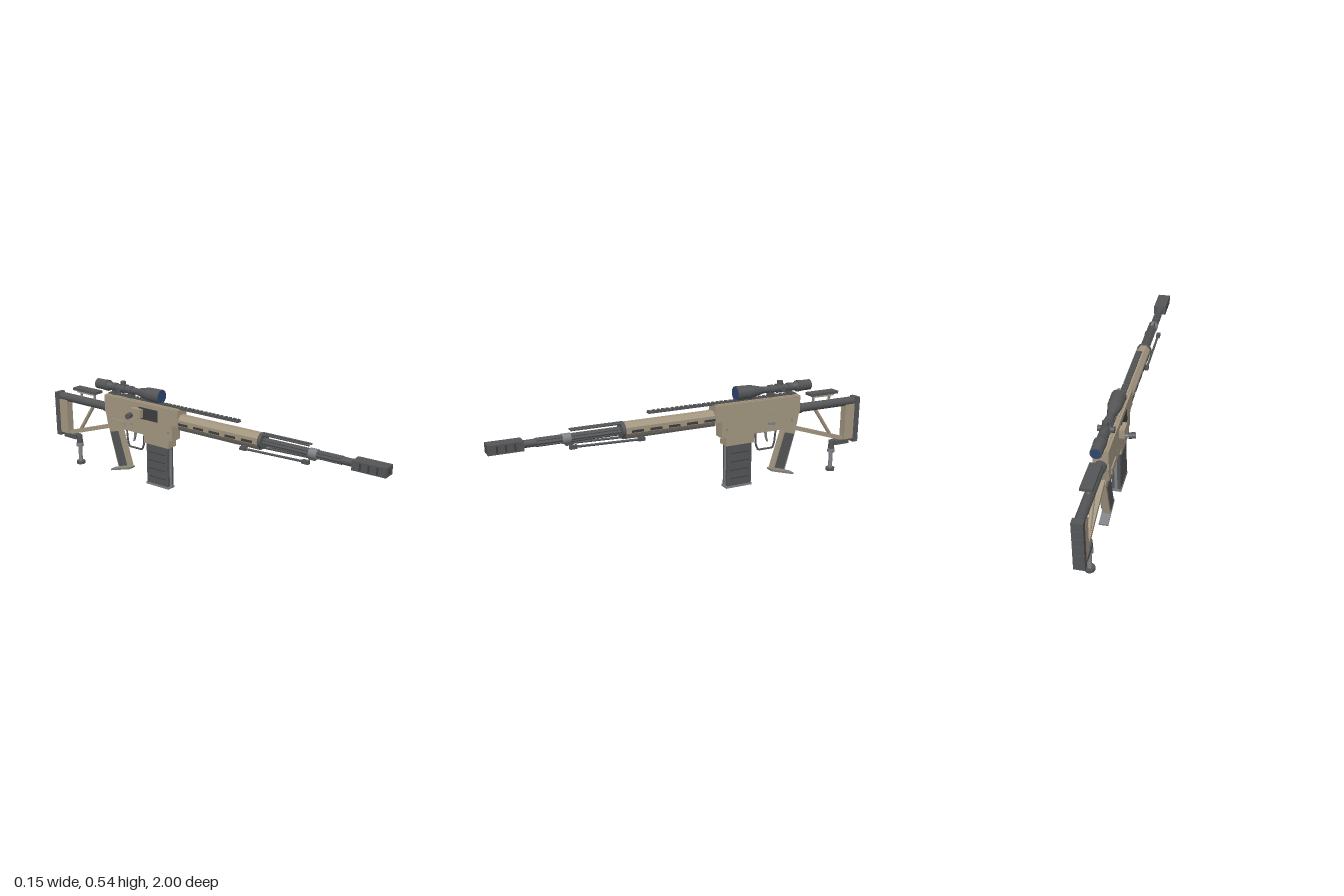
import * as THREE from 'three';

const mat = (name, color) => Object.assign(new THREE.MeshStandardMaterial({ color }), { name });

export function createModel() {
  const model = new THREE.Group();
  const tan = mat('tan', 0xa39680), dark = mat('darkGrey', 0x545557), grey = mat('midGrey', 0x7f8286);
  const black = mat('black', 0x3c3d3f), blue = mat('lensBlue', 0x2d4672);
  const CX = 0.03; // centre line of the rifle

  const add = (name, geo, m) => {
    const mesh = new THREE.Mesh(geo, m);
    mesh.name = name;
    model.add(mesh);
    return mesh;
  };
  // box given by its limits on each axis
  const box = (name, m, x0, x1, y0, y1, z0, z1) => add(name,
    new THREE.BoxGeometry(x1 - x0, y1 - y0, Math.abs(z1 - z0))
      .translate((x0 + x1) / 2, (y0 + y1) / 2, (z0 + z1) / 2), m);
  // box centred across the rifle
  const mid = (name, m, w, y0, y1, z0, z1) => box(name, m, CX - w / 2, CX + w / 2, y0, y1, z0, z1);
  // cylinder between two points
  const rod = (name, m, a, b, r0, r1 = r0, sides = 16) => {
    const p = new THREE.Vector3(...a), q = new THREE.Vector3(...b), d = q.clone().sub(p);
    const mesh = add(name, new THREE.CylinderGeometry(r1, r0, d.length(), sides), m);
    mesh.position.copy(p).add(q).multiplyScalar(0.5);
    mesh.quaternion.setFromUnitVectors(new THREE.Vector3(0, 1, 0), d.normalize());
    return mesh;
  };
  const along = (name, m, y, z0, z1, r0, r1, sides) => rod(name, m, [CX, y, z0], [CX, y, z1], r0, r1, sides);
  // side profile of [z, y] points, extruded across x
  const side = (name, m, pts, w, x = CX) => {
    const g = new THREE.ExtrudeGeometry(new THREE.Shape(pts.map(p => new THREE.Vector2(...p))),
      { depth: w, bevelEnabled: false });
    return add(name, g.rotateY(-Math.PI / 2).translate(x + w / 2, 0, 0), m);
  };

  // muzzle brake
  mid('muzzleBrake', dark, 0.066, 0.366, 0.411, 0.84, 1);
  for (const z of [0.88, 0.92, 0.96]) mid('brakeVent', black, 0.07, 0.372, 0.405, z - 0.004, z + 0.004);
  along('muzzleBore', black, 0.388, 0.99, 1.001, 0.011);

  // barrel with flutes
  along('barrel', dark, 0.388, 0.3, 0.85, 0.018);
  along('barrelCollar', grey, 0.388, 0.62, 0.66, 0.024);
  for (let i = 0; i < 8; i++) {
    const a = i * Math.PI / 4, x = CX + Math.cos(a) * 0.017, y = 0.388 + Math.sin(a) * 0.017;
    rod('barrelRib', dark, [x, y, 0.37], [x, y, 0.78], 0.005, 0.005, 6);
  }
  for (const s of [-1, 1])
    rod('upperRod', dark, [CX + s * 0.012, 0.426, 0.36], [CX + s * 0.012, 0.426, 0.62], 0.005, 0.005, 8);

  // octagonal handguard with side slots
  const oct = new THREE.CylinderGeometry(0.038, 0.038, 0.49, 8).toNonIndexed();
  oct.rotateY(Math.PI / 8).rotateX(Math.PI / 2).scale(0.92, 1.02, 1).computeVertexNormals();
  add('handguard', oct, tan).position.set(CX, 0.392, 0.125);
  along('handguardCap', dark, 0.392, 0.36, 0.378, 0.039);
  mid('handguardUnderRail', dark, 0.034, 0.35, 0.36, -0.12, 0.37);
  for (const s of [-1, 1]) for (let i = 0; i < 5; i++) {
    const x = CX + s * 0.0325, z = 0.3 - i * 0.095;
    box('handguardSlot', black, x - 0.0015, x + 0.0015, 0.38, 0.392, z - 0.03, z + 0.03);
  }

  // folded bipod
  for (const s of [-1, 1]) {
    const x = CX + s * 0.032;
    rod('bipodLeg', dark, [x, 0.343, 0.28], [x, 0.353, 0.63], 0.006, 0.006, 8);
    box('bipodFoot', dark, x - 0.01, x + 0.01, 0.344, 0.361, 0.6, 0.634);
    box('bipodHinge', dark, x - 0.009, x + 0.009, 0.336, 0.352, 0.265, 0.3);
  }
  mid('bipodBridge', dark, 0.06, 0.343, 0.355, 0.27, 0.29);

  // top rail with teeth
  mid('topRail', dark, 0.026, 0.455, 0.461, -0.6, 0.235);
  for (let i = 0; i < 34; i++) {
    const z = 0.225 - i * 0.0245;
    mid('railTooth', dark, 0.03, 0.46, 0.467, z - 0.007, z + 0.007);
  }

  // receiver
  side('upperReceiver', tan, [[-0.11, 0.37], [-0.11, 0.455], [-0.605, 0.455], [-0.605, 0.36], [-0.15, 0.36], [-0.15, 0.37]], 0.071);
  mid('receiverRidge', tan, 0.052, 0.45, 0.459, -0.115, -0.6);
  side('lowerReceiver', tan, [[-0.15, 0.285], [-0.15, 0.365], [-0.603, 0.365], [-0.588, 0.285]], 0.066);
  mid('magazineWell', tan, 0.063, 0.24, 0.287, -0.175, -0.337);
  box('sidePanel', tan, 0.06, 0.068, 0.385, 0.405, -0.25, -0.48);
  box('rearPanel', tan, -0.009, 0, 0.302, 0.332, -0.47, -0.56);
  box('ejectionPort', black, -0.0085, 0, 0.37, 0.432, -0.24, -0.365);
  for (const z of [-0.175, -0.42, -0.56])
    rod('receiverPin', grey, [-0.005, 0.328, z], [0.066, 0.328, z], 0.006, 0.006, 10);
  rod('selectorPivot', grey, [0.055, 0.328, -0.445], [0.074, 0.328, -0.445], 0.009, 0.009, 12);
  box('selectorLever', grey, 0.069, 0.074, 0.323, 0.333, -0.42, -0.445);

  // bolt handle
  box('boltMount', tan, -0.03, -0.005, 0.38, 0.425, -0.335, -0.4);
  rod('boltStem', grey, [-0.02, 0.393, -0.395], [-0.05, 0.393, -0.388], 0.006);
  rod('boltKnob', dark, [-0.045, 0.393, -0.389], [-0.077, 0.393, -0.381], 0.0145);

  // magazine
  mid('magazine', dark, 0.046, 0.015, 0.245, -0.188, -0.328);
  mid('magazineFrontStrip', grey, 0.014, 0.02, 0.24, -0.184, -0.19);
  mid('magazineBackStrip', grey, 0.014, 0.02, 0.24, -0.326, -0.331);
  mid('magazineBase', grey, 0.05, 0.01, 0.021, -0.183, -0.333);
  for (const y of [0.06, 0.105, 0.15, 0.195])
    mid('magazineRib', black, 0.049, y - 0.002, y + 0.002, -0.205, -0.315);

  // trigger and guard
  const guard = new THREE.CurvePath();
  const gp = [[-0.362, 0.287], [-0.366, 0.215], [-0.38, 0.184], [-0.468, 0.184], [-0.478, 0.215], [-0.485, 0.287]]
    .map(([z, y]) => new THREE.Vector3(CX, y, z));
  for (let i = 1; i < gp.length; i++) guard.add(new THREE.LineCurve3(gp[i - 1], gp[i]));
  add('triggerGuard', new THREE.TubeGeometry(guard, 40, 0.005, 6), dark);
  side('trigger', grey, [[-0.415, 0.288], [-0.427, 0.288], [-0.43, 0.25], [-0.438, 0.222], [-0.431, 0.222], [-0.421, 0.25]], 0.01);

  // pistol grip
  side('grip', tan, [[-0.527, 0.287], [-0.598, 0.272], [-0.535, 0.045], [-0.458, 0.066]], 0.036);
  side('gripPanels', dark, [[-0.53, 0.262], [-0.585, 0.247], [-0.529, 0.062], [-0.474, 0.078]], 0.046);
  side('gripFoot', grey, [[-0.453, 0.07], [-0.455, 0.06], [-0.59, 0.022], [-0.592, 0.031]], 0.044);

  // stock frame
  along('stockTube', dark, 0.378, -0.59, -0.98, 0.023);
  along('stockTubeCollar', dark, 0.378, -0.6, -0.63, 0.028);
  side('lowerStrut', tan, [[-0.585, 0.289], [-0.92, 0.182], [-0.92, 0.16], [-0.585, 0.268]], 0.026);
  rod('diagonalStrut', tan, [CX, 0.365, -0.722], [CX, 0.208, -0.83], 0.01, 0.01, 8);
  mid('stockBlock', tan, 0.042, 0.17, 0.365, -0.912, -0.975);
  mid('buttPlate', dark, 0.05, 0.15, 0.402, -0.97, -0.99);
  for (let i = 0; i < 6; i++)
    mid('buttPadRib', dark, 0.05, 0.151 + i * 0.042, 0.19 + i * 0.042, -0.988, -1);
  mid('monopodMount', dark, 0.042, 0.146, 0.17, -0.855, -0.945);

  // cheek rest
  side('cheekRest', dark, [[-0.68, 0.437], [-0.68, 0.451], [-0.85, 0.451], [-0.85, 0.437]], 0.055);
  side('cheekRestBase', tan, [[-0.695, 0.438], [-0.835, 0.438], [-0.82, 0.427], [-0.71, 0.427]], 0.042);
  for (const z of [-0.712, -0.812]) rod('cheekPost', grey, [CX, 0.39, z], [CX, 0.43, z], 0.007, 0.007, 10);

  // monopod
  for (const [name, m, y0, y1, r] of [
    ['monopodSleeve', dark, 0.11, 0.17, 0.016], ['monopodCollar', grey, 0.105, 0.125, 0.02],
    ['monopodShaft', grey, 0.01, 0.11, 0.011], ['monopodFoot', dark, 0, 0.016, 0.024]])
    rod(name, m, [CX, y0, -0.845], [CX, y1, -0.845], r);

  // scope: body sections [z0, z1, r0, r1]
  const SY = 0.498;
  for (const [z0, z1, r0, r1] of [[-0.24, -0.325, 0.036, 0.034], [-0.325, -0.4, 0.034, 0.017],
    [-0.39, -0.58, 0.017, 0.017], [-0.57, -0.61, 0.018, 0.027], [-0.61, -0.68, 0.027, 0.027]])
    along('scopeBody', dark, SY, z0, z1, r0, r1, 24);
  along('frontLens', blue, SY, -0.245, -0.2385, 0.033, 0.033, 24);
  along('rearLens', blue, SY, -0.67, -0.6815, 0.023, 0.023, 24);
  along('zoomRing', dark, SY, -0.6, -0.62, 0.029, 0.029, 24);
  for (const z of [-0.445, -0.555]) {
    along('scopeRing', dark, SY, z - 0.012, z + 0.012, 0.022, 0.022, 20);
    mid('scopeMount', dark, 0.034, 0.458, 0.485, z - 0.013, z + 0.013);
  }
  along('turretHousing', dark, SY, -0.48, -0.52, 0.023, 0.023, 20);
  rod('topTurret', dark, [CX, SY, -0.5], [CX, 0.537, -0.5], 0.015);
  rod('sideTurrets', dark, [-0.01, SY, -0.5], [0.066, SY, -0.5], 0.014);

  return model;
}
